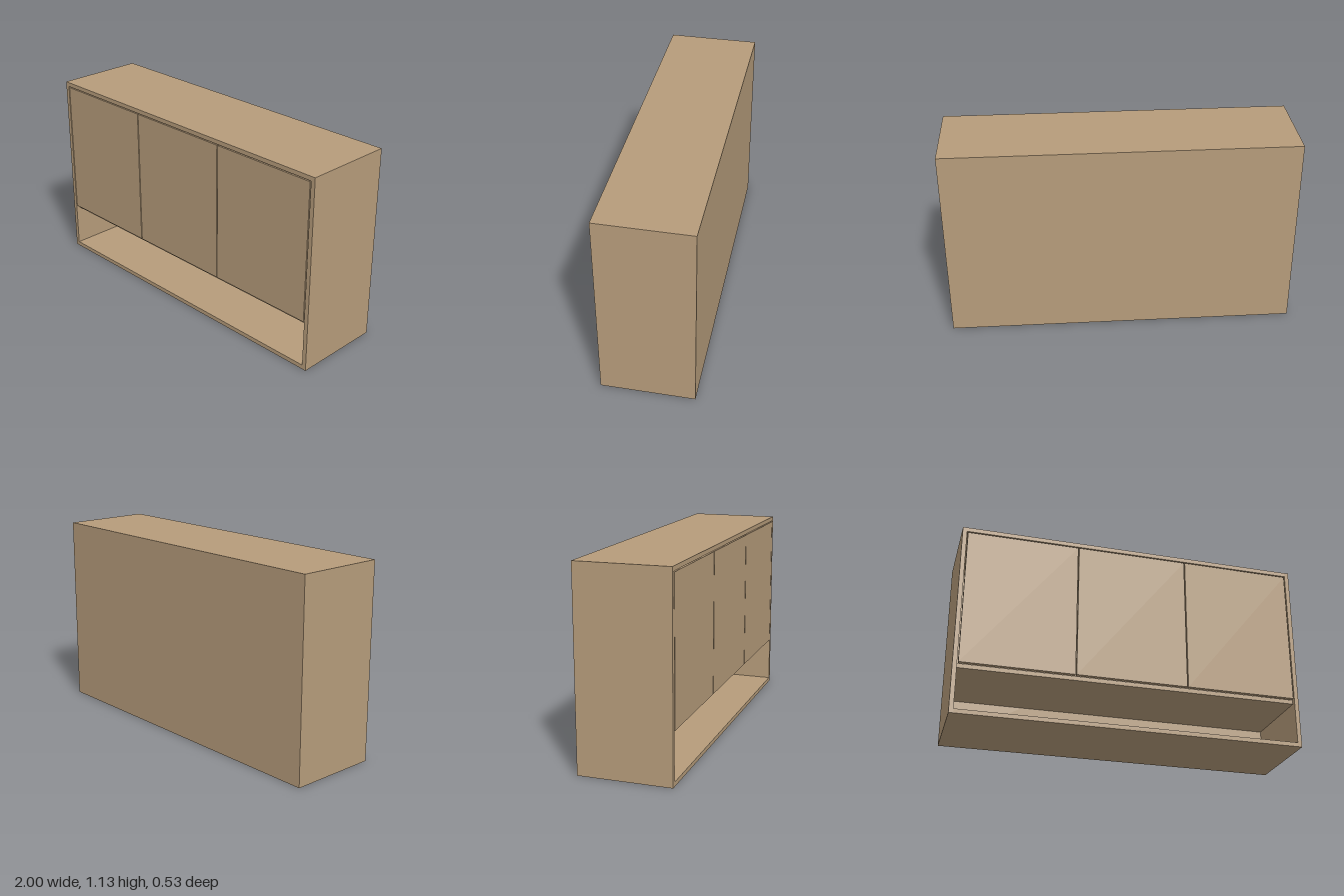
import * as THREE from 'three';

const W = 2, H = 1.132, D = 0.53; // overall size
const T = 0.025;                  // board thickness
const GAP = 0.006;                // clearance around the doors

export function createModel() {
  const group = new THREE.Group();
  const wood = new THREE.MeshStandardMaterial({ color: 0xb69c7b });
  wood.name = 'lightWood';

  // Board given by its min and max corners
  const board = (name, x0, x1, y0, y1, z0, z1) => {
    const mesh = new THREE.Mesh(new THREE.BoxGeometry(x1 - x0, y1 - y0, z1 - z0), wood);
    mesh.position.set((x0 + x1) / 2, (y0 + y1) / 2, (z0 + z1) / 2);
    mesh.name = name;
    group.add(mesh);
  };

  const inner = W / 2 - T, front = D / 2, back = -D / 2;
  const shelfY = 0.27;

  // Carcass: full-height sides with top, bottom and back between them
  board('leftSide', inner, W / 2, 0, H, back, front);
  board('rightSide', -W / 2, -inner, 0, H, back, front);
  board('topPanel', -inner, inner, H - T, H, back, front);
  board('bottomPanel', -inner, inner, 0, T, back, front);
  board('backPanel', -inner, inner, T, H - T, back, back + T);

  // Shelf above the open niche, set back behind the doors
  board('shelf', -inner, inner, shelfY, shelfY + T, back + T, front - T);

  // Three flush doors separated by narrow gaps
  const doorW = (2 * inner - 4 * GAP) / 3;
  ['rightDoor', 'middleDoor', 'leftDoor'].forEach((name, i) => {
    const x = -inner + GAP + i * (doorW + GAP);
    board(name, x, x + doorW, shelfY + T, H - T - GAP, front - T + 0.002, front);
  });

  return group;
}
